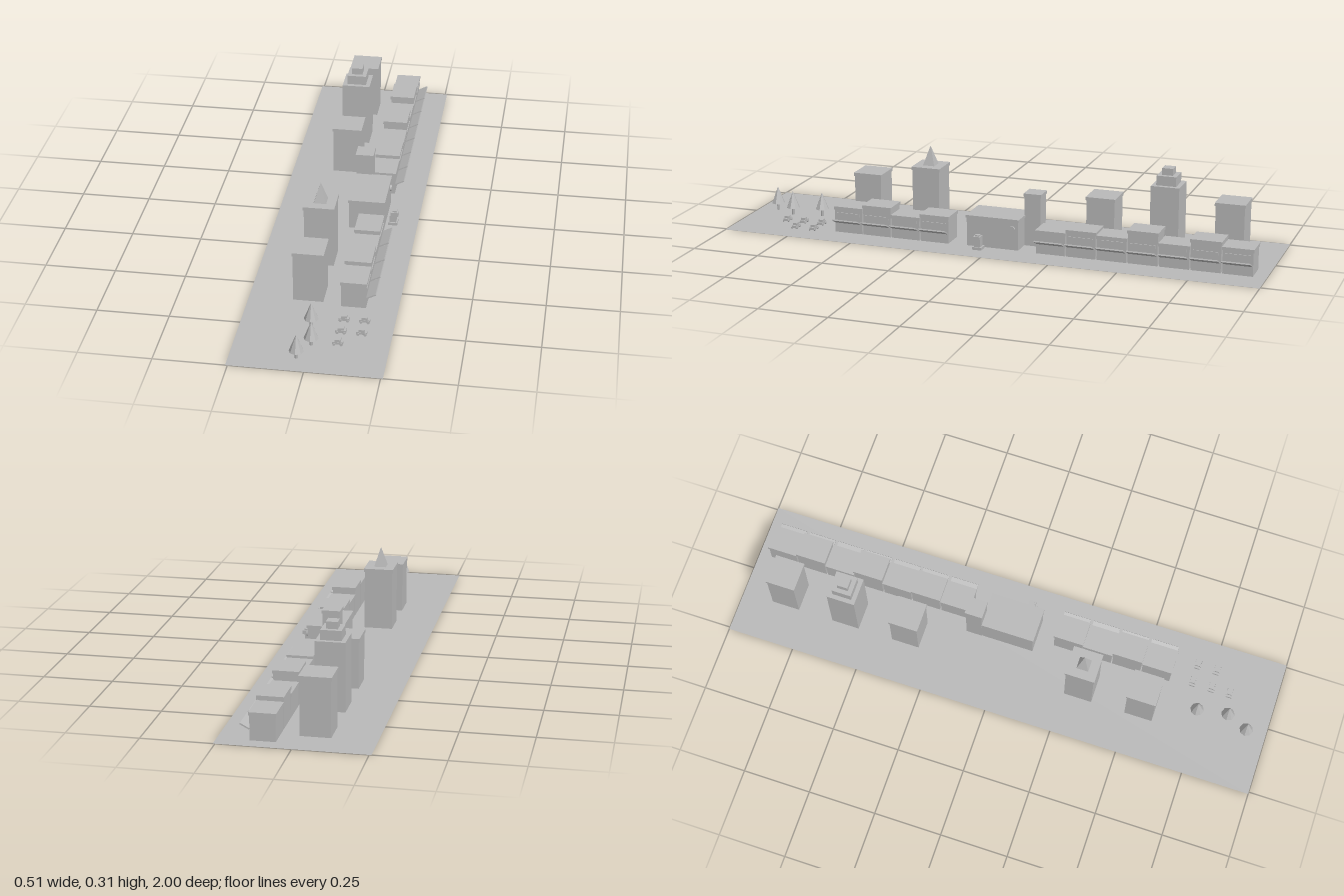
import * as THREE from 'three';

const stone = new THREE.MeshStandardMaterial({ color: 0xb8b8b8 });
stone.name = 'plain grey';
const sheet = new THREE.MeshStandardMaterial({ color: 0xb8b8b8, side: THREE.DoubleSide });
sheet.name = 'plain grey sheet';

export function createModel() {
  const town = new THREE.Group();
  town.name = 'mainStreet';

  const group = (name, x = 0, z = 0) => {
    const g = new THREE.Group();
    g.name = name;
    g.position.set(x, 0, z);
    town.add(g);
    return g;
  };
  const add = (parent, name, geometry, x, y, z) => {
    const m = new THREE.Mesh(geometry, stone);
    m.name = name;
    m.position.set(x, y, z);
    parent.add(m);
    return m;
  };
  // Box standing on height y
  const box = (parent, name, w, h, d, x, y, z) =>
    add(parent, name, new THREE.BoxGeometry(w, h, d), x, y + h / 2, z);
  // Walls with a slightly wider roof slab
  const block = (parent, w, d, top, slab = 0.012, over = 0.006) => {
    box(parent, 'walls', w, top - slab - 0.001, d, 0, 0.001, 0);
    box(parent, 'cornice', w + over, slab, d + over, 0, top - slab, 0);
  };

  // Ground sheet
  const ground = new THREE.Mesh(new THREE.PlaneGeometry(0.515, 2).rotateX(-Math.PI / 2), sheet);
  ground.name = 'ground';
  town.add(ground);

  // Towers along the back of the street
  for (const [z, top] of [[-0.833, 0.207], [-0.362, 0.182], [0.307, 0.232], [0.538, 0.188]]) {
    block(group('tower', -0.053, z), 0.104, 0.104, top);
  }
  const spire = new THREE.ConeGeometry(0.022 * Math.SQRT2, 0.072, 4).rotateY(Math.PI / 4).toNonIndexed();
  spire.computeVertexNormals();
  add(town, 'towerSpire', spire, -0.053, 0.268, 0.307);

  // Stepped tower
  const stepped = group('steppedTower', -0.053, -0.597);
  box(stepped, 'shaft', 0.104, 0.244, 0.104, 0, 0.001, 0);
  box(stepped, 'middleStep', 0.072, 0.035, 0.072, 0, 0.245, 0);
  box(stepped, 'topStep', 0.04, 0.025, 0.04, 0, 0.28, 0);

  // Rows of shops with sign boards and upturned awnings
  const rows = [
    [0.553, -0.1125, [0.098, 0.113, 0.087, 0.102]],
    [-0.224, -0.1125, [0.087, 0.1, 0.091, 0.122, 0.087, 0.114, 0.098]],
  ];
  for (const [start, pitch, heights] of rows) {
    heights.forEach((top, i) => {
      const shop = group('shop', 0.105, start + pitch * i);
      block(shop, 0.086, 0.107, top);
      box(shop, 'signBoard', 0.004, 0.012, 0.09, 0.044, 0.064, 0);
      const awning = add(shop, 'awning', new THREE.BoxGeometry(0.036, 0.005, 0.102), 0.06, 0.047, 0);
      awning.rotation.z = 0.48;
    });
  }

  // Hall with a corner tower and a round clock
  block(group('hall', 0.078, -0.004), 0.127, 0.195, 0.115, 0.01);
  block(group('hallTower', 0.043, -0.132), 0.06, 0.06, 0.195);
  add(town, 'clock', new THREE.CylinderGeometry(0.012, 0.012, 0.008, 12).rotateZ(Math.PI / 2), 0.144, 0.078, -0.078);

  // Small statue in front of the hall
  const statue = group('statue', 0.168, 0.04);
  box(statue, 'plinth', 0.034, 0.01, 0.034, 0, 0.001, 0);
  box(statue, 'body', 0.024, 0.025, 0.022, 0, 0.011, 0);
  box(statue, 'head', 0.028, 0.015, 0.026, 0.006, 0.036, 0);
  box(statue, 'cap', 0.016, 0.005, 0.016, 0.006, 0.051, 0);

  // Trees
  for (const [x, z] of [[-0.018, 0.735], [0, 0.847], [-0.036, 0.926]]) {
    const tree = group('tree', x, z);
    add(tree, 'trunk', new THREE.CylinderGeometry(0.006, 0.006, 0.028, 6), 0, 0.015, 0);
    const crown = new THREE.ConeGeometry(0.025, 0.064, 8).toNonIndexed();
    crown.computeVertexNormals();
    add(tree, 'crown', crown, 0, 0.06, 0);
  }

  // Parked cars
  for (const [x, z] of [[0.086, 0.69], [0.156, 0.69], [0.086, 0.762], [0.156, 0.762], [0.086, 0.83]]) {
    const car = group('car', x, z);
    box(car, 'carBody', 0.036, 0.009, 0.018, 0, 0.005, 0);
    box(car, 'cabin', 0.02, 0.008, 0.016, 0, 0.014, 0);
    for (const sx of [-1, 1]) for (const sz of [-1, 1]) {
      add(car, 'wheel', new THREE.CylinderGeometry(0.005, 0.005, 0.004, 10).rotateX(Math.PI / 2), sx * 0.012, 0.006, sz * 0.01);
    }
  }
  return town;
}
